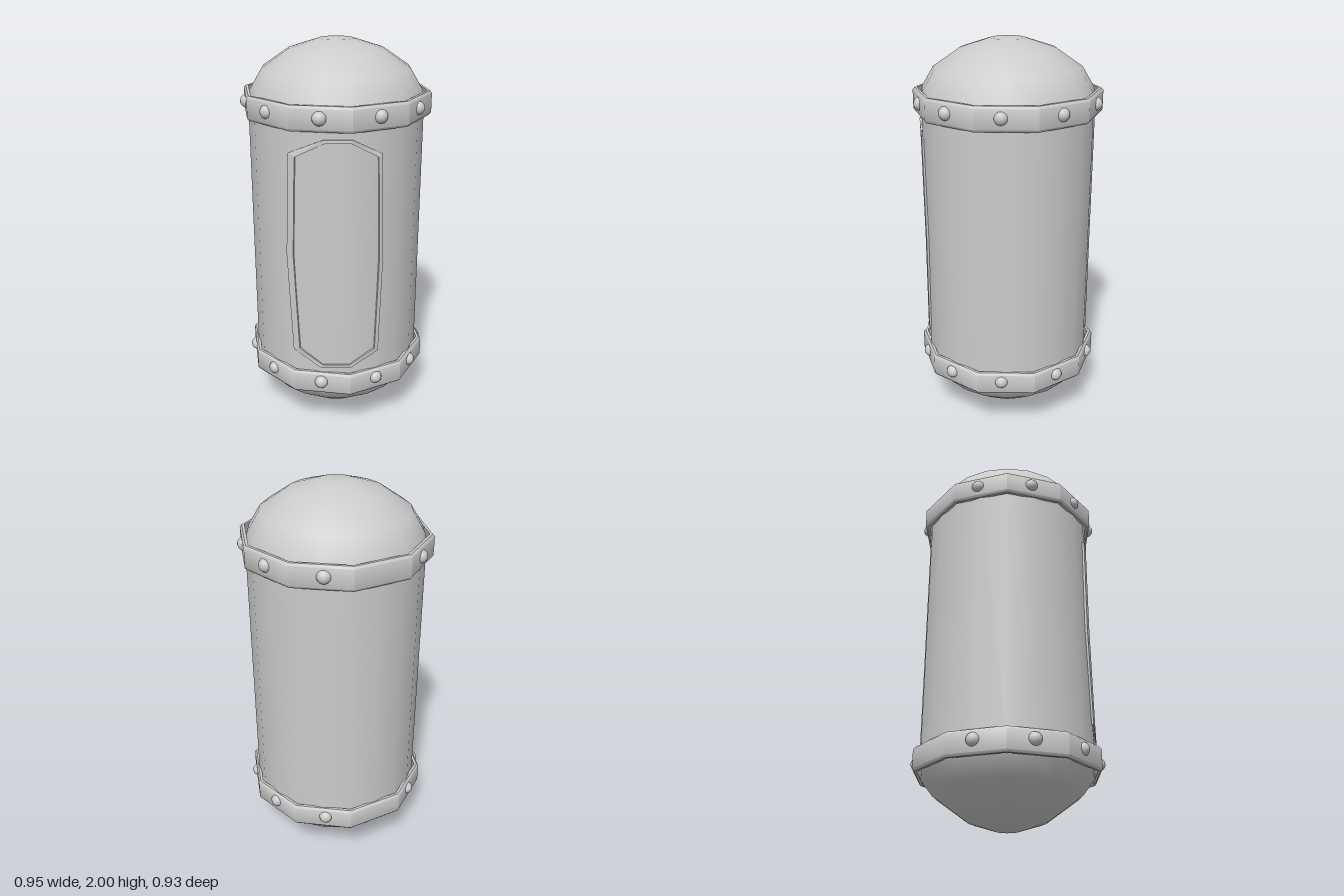
import * as THREE from 'three';
import { toCreasedNormals } from 'three/addons/utils/BufferGeometryUtils.js';

const AXIS_Z = -0.01;
const BODY_R = 0.44;
const material = new THREE.MeshStandardMaterial({ color: 0xcccccc });
const facetedMaterial = new THREE.MeshStandardMaterial({ color: 0xcccccc, flatShading: true });

function lathe(points, segments, phiStart = 0) {
  return new THREE.LatheGeometry(points.map(([r, y]) => new THREE.Vector2(r, y)), segments, phiStart);
}

function add(parent, name, geometry, mat = material) {
  const mesh = new THREE.Mesh(geometry, mat);
  mesh.name = name;
  parent.add(mesh);
  return mesh;
}

// Thin raised outline that follows the cylinder wall
function frameGeometry(outline, width) {
  const cx = -0.175, cy = 1.0;
  const positions = [], indices = [];
  const n = outline.length;
  const place = (x, y, r) => {
    const a = Math.asin(x / BODY_R);
    positions.push(Math.sin(a) * r, y, Math.cos(a) * r);
  };
  outline.forEach(([x, y], i) => {
    // inner corner is moved towards the centre
    const ix = x - Math.sign(x - cx) * width * (Math.abs(x - cx) > 0.12 ? 1 : 0.4);
    const iy = Math.abs(y - cy) > 0.1 ? y - Math.sign(y - cy) * width * 0.8 : y;
    place(x, y, BODY_R - 0.02);
    place(x, y, BODY_R + 0.008);
    place(ix, iy, BODY_R + 0.008);
    place(ix, iy, BODY_R - 0.02);
    const j = (i + 1) % n;
    for (let k = 0; k < 4; k++) {
      const a = i * 4 + k, b = i * 4 + (k + 1) % 4;
      const c = j * 4 + k, d = j * 4 + (k + 1) % 4;
      indices.push(a, b, c, b, d, c);
    }
  });
  const g = new THREE.BufferGeometry();
  g.setAttribute('position', new THREE.Float32BufferAttribute(positions, 3));
  g.setIndex(indices);
  g.computeVertexNormals();
  return g;
}

export function createModel() {
  const model = new THREE.Group();
  model.name = 'capsule';
  const capsule = new THREE.Group();
  capsule.name = 'capsuleBody';
  capsule.position.z = AXIS_Z;
  model.add(capsule);

  // Cylindrical shell with a dome at each end
  add(capsule, 'shell', lathe([[BODY_R, 0.31], [BODY_R, 1.69]], 20));
  add(capsule, 'topDome', lathe(
    [[BODY_R, 1.69], [0.43, 1.76], [0.37, 1.86], [0.237, 1.95], [0.087, 1.998], [0, 2]], 20));
  add(capsule, 'bottomDome', lathe(
    [[0, 0], [0.067, 0.004], [0.2, 0.048], [0.37, 0.172], [0.43, 0.25], [BODY_R, 0.31]], 20));

  // Ten-sided bands with chamfered outer edges, and their rivets
  const band = toCreasedNormals(lathe([
    [0.453, -0.06], [0.467, -0.06], [0.477, -0.048], [0.477, 0.048],
    [0.467, 0.06], [0.453, 0.06], [0.453, -0.06],
  ], 10, Math.PI / 2), 0.7);
  const rivet = new THREE.SphereGeometry(0.034, 16, 12);
  const rivetSpots = [
    [0, 0.435], [0.245, 0.365], [0.413, 0.15], [0.425, -0.14], [0.253, -0.378],
    [-0.25, -0.378], [-0.42, -0.16], [-0.425, 0.115], [-0.27, 0.352],
  ];
  for (const [side, y, rivetY] of [['top', 1.695, 1.7], ['bottom', 0.315, 0.325]]) {
    add(capsule, side + 'Band', band).position.y = y;
    const rivets = new THREE.Group();
    rivets.name = side + 'Rivets';
    for (const [x, z] of rivetSpots) add(rivets, 'rivet', rivet).position.set(x, rivetY, z);
    model.add(rivets);
  }

  // Window outline on the front
  add(capsule, 'windowFrame', frameGeometry([
    [-0.37, 1.525], [-0.25, 1.6], [-0.13, 1.6], [0.015, 1.525], [0.03, 1.01],
    [0.012, 0.48], [-0.13, 0.405], [-0.265, 0.405], [-0.365, 0.485], [-0.38, 1.01],
  ], 0.02), facetedMaterial);

  return model;
}
